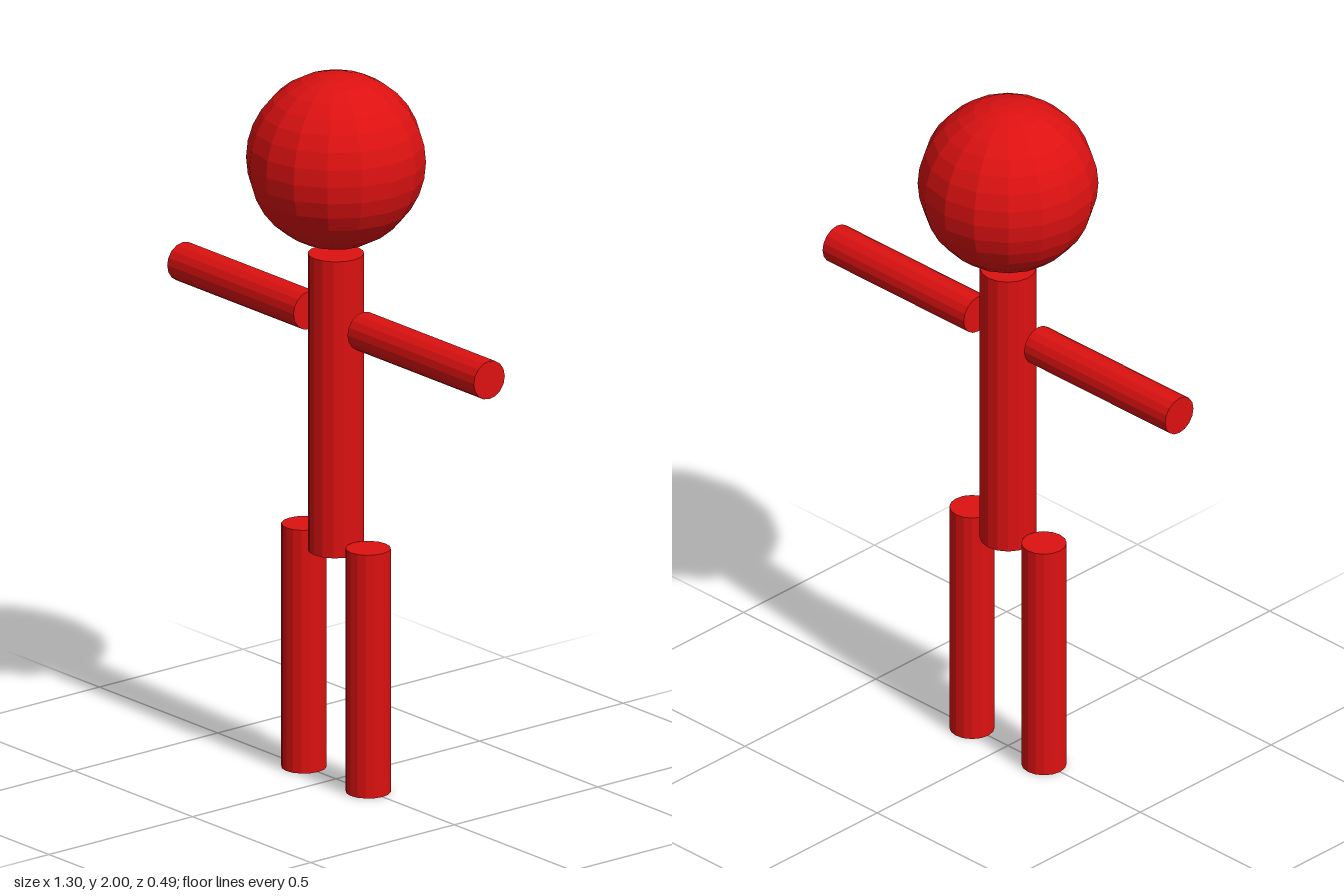
import * as THREE from 'three';

export function createModel() {
  const model = new THREE.Group();
  const red = new THREE.MeshStandardMaterial({ color: 0xdd1111, flatShading: true });

  function add(name, geometry, x, y) {
    const mesh = new THREE.Mesh(geometry, red);
    mesh.name = name;
    mesh.position.set(x, y, 0);
    model.add(mesh);
    return mesh;
  }
  const rod = (radius, length) => new THREE.CylinderGeometry(radius, radius, length, 16);

  // Head floats just above the torso
  add('head', new THREE.SphereGeometry(0.243, 16, 16), 0, 1.757);
  add('torso', rod(0.076, 0.841), 0, 1.0715);

  // Mirrored limbs: the model's left is +x
  for (const [side, s] of [['left', 1], ['right', -1]]) {
    add(side + 'Arm', rod(0.054, 0.534), s * 0.381, 1.3).rotation.z = Math.PI / 2;
    add(side + 'Leg', rod(0.061, 0.69), s * 0.136, 0.345);
  }
  return model;
}
